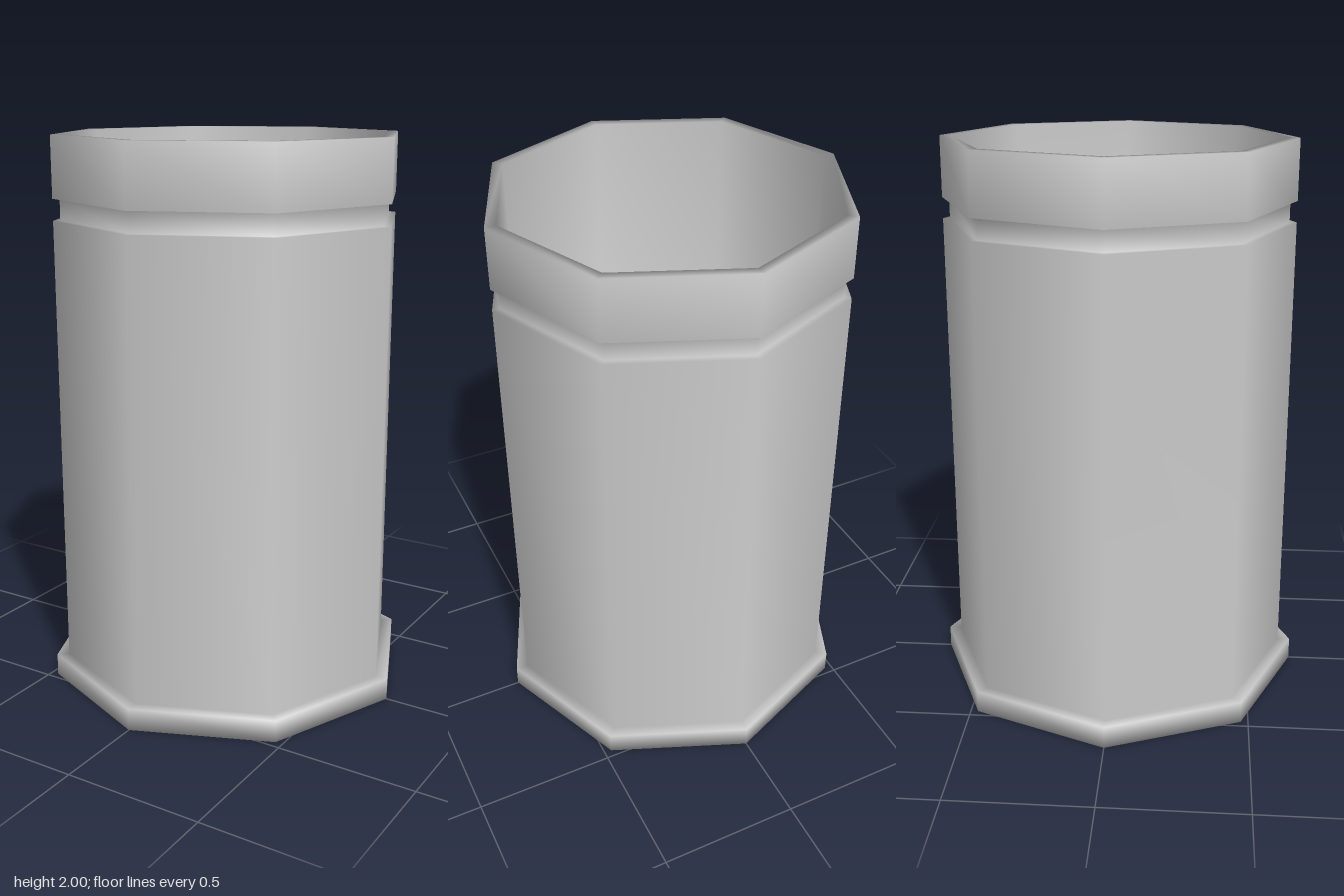
import * as THREE from 'three';

const SIDES = 8;

export function createModel() {
  const group = new THREE.Group();
  group.name = 'canister';
  const material = new THREE.MeshStandardMaterial({ color: 0xcccccc });

  // Profile [radius, height]: underside, up the outside, over the lip, down the inside
  const profile = [
    [0, 0],
    [0.67, 0], [0.67, 0.08],         // foot flange
    [0.625, 0.08], [0.625, 1.71],    // body wall
    [0.6, 1.71], [0.6, 1.785],       // neck groove
    [0.625, 1.785], [0.625, 2],      // collar
    [0.587, 2], [0.587, 0.08],       // lip and inner wall
    [0, 0.08],                       // inner floor
  ].map(([r, y]) => new THREE.Vector2(r, y));

  // Eight-sided shell with smooth normals, corners on the x and z axes
  const shell = new THREE.Mesh(new THREE.LatheGeometry(profile, SIDES), material);
  shell.name = 'shell';
  group.add(shell);
  return group;
}
